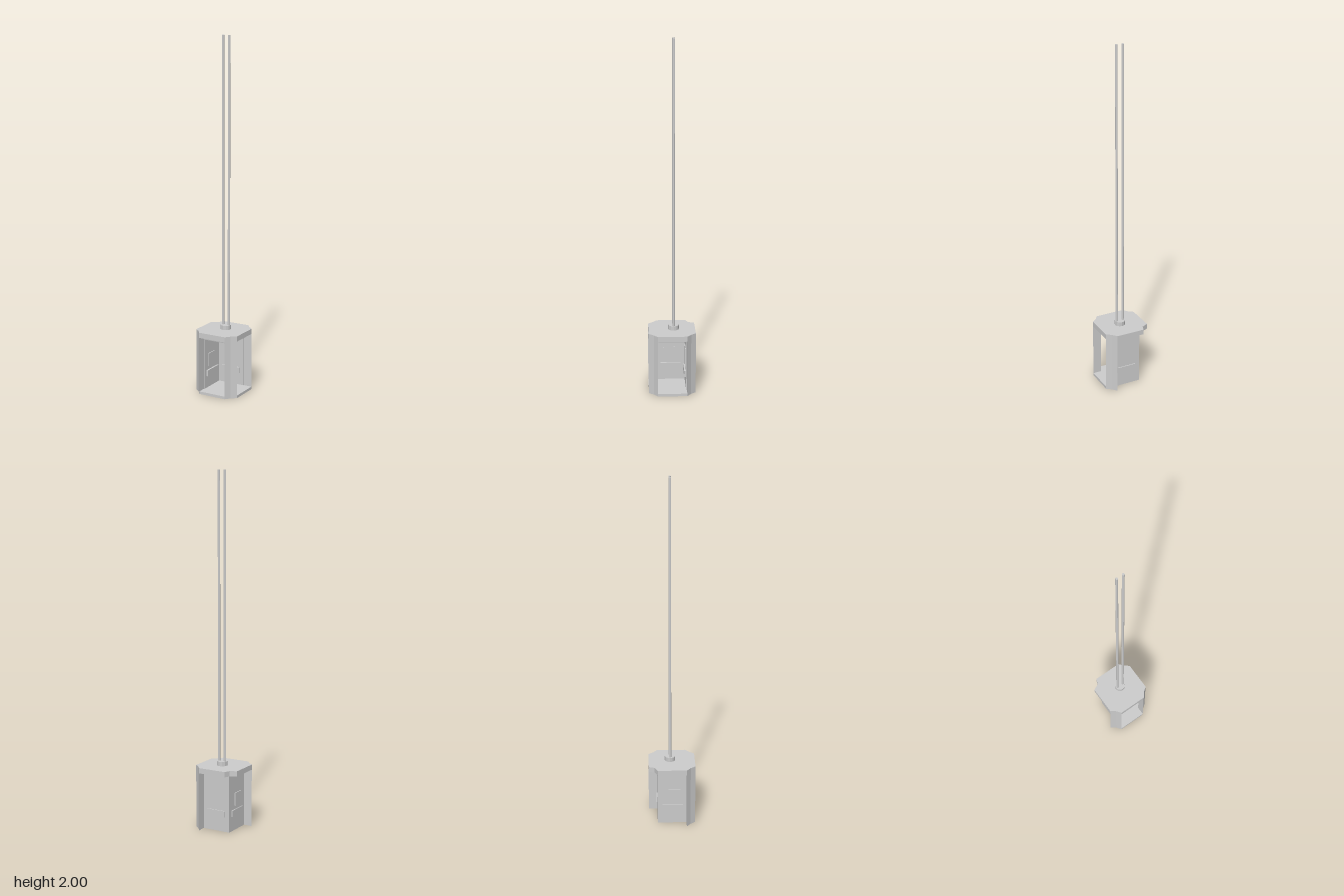
import * as THREE from 'three';

const material = new THREE.MeshStandardMaterial({ color: 0xcccccc, flatShading: true, side: THREE.DoubleSide });
const OUT = 0.133, IN = 0.083, MID = 0.105;
const FLOOR_TOP = 0.015, ROOF_BOTTOM = 0.33, ROOF_TOP = 0.36;

function add(parent, name, geometry, x = 0, y = 0, z = 0) {
  const mesh = new THREE.Mesh(geometry, material);
  mesh.name = name;
  mesh.position.set(x, y, z);
  parent.add(mesh);
  return mesh;
}

// Prism standing on a plan outline given as [x, z] points
function prism(points, y0, y1) {
  const shape = new THREE.Shape(points.map(([x, z]) => new THREE.Vector2(x, z)));
  const g = new THREE.ExtrudeGeometry(shape, { depth: y1 - y0, bevelEnabled: false });
  return g.rotateX(Math.PI / 2).translate(0, y1, 0);
}

// Box from its limits
function block(parent, name, [x0, x1], [y0, y1], [z0, z1]) {
  return add(parent, name, new THREE.BoxGeometry(x1 - x0, y1 - y0, z1 - z0),
    (x0 + x1) / 2, (y0 + y1) / 2, (z0 + z1) / 2);
}

export function createModel() {
  const model = new THREE.Group();
  model.name = 'liftCabin';

  // Floor reaches out to the two open sides and stops at the recessed walls
  add(model, 'floor', prism([
    [-IN, -IN], [IN, -IN], [OUT, -IN], [OUT, IN], [MID, MID], [IN, OUT], [-IN, OUT],
  ], 0, FLOOR_TOP));

  // Roof plate with chamfered corners and a notch at the back
  add(model, 'roof', prism([
    [-IN, -OUT], [IN, -OUT], [MID, -MID], [OUT, -IN], [OUT, IN], [MID, MID], [IN, OUT],
    [-IN, OUT], [-MID, MID], [-OUT, IN], [-OUT, -IN], [-0.095, -0.1],
  ], ROOF_BOTTOM, ROOF_TOP));

  // Ceiling panel tapering downwards inside the roof
  const ceiling = new THREE.CylinderGeometry(0.083 * Math.SQRT2, 0.078 * Math.SQRT2, 0.025, 4);
  add(model, 'ceiling', ceiling.rotateY(Math.PI / 4), 0, 0.3175, 0);

  // Corner posts on three corners
  for (const [sx, sz] of [[1, 1], [1, -1], [-1, 1]]) {
    const outline = [[IN, IN], [OUT, IN], [MID, MID], [IN, OUT]].map(([x, z]) => [x * sx, z * sz]);
    add(model, 'cornerPost', prism(outline, 0, ROOF_BOTTOM));
  }

  // Two closed walls
  const wallY = [FLOOR_TOP, ROOF_BOTTOM];
  block(model, 'backWall', [-IN, IN], wallY, [-IN, -IN + 0.004]);
  block(model, 'sideWall', [-IN, -IN + 0.004], wallY, [-IN, IN]);

  // Handrail bars show on both faces of the walls
  const barY = [0.085, 0.12], through = [-IN - 0.006, -IN + 0.014];
  block(model, 'backHandrail', [-0.056, 0.058], barY, through);
  block(model, 'sideHandrail', through, barY, [-0.056, 0.062]);

  // Mirror on the back wall, control panel through the side wall
  block(model, 'mirror', [-0.038, 0.041], [0.14, 0.25], [-IN, -IN + 0.008]);
  block(model, 'controlPanel', [-IN - 0.006, -IN + 0.009], [0.14, 0.215], [-0.022, 0.048]);

  // Cable mount and the two hoist cables
  add(model, 'cableMount', new THREE.CylinderGeometry(0.03, 0.03, 0.025, 12), 0.006, 0.3725, -0.01);
  for (const x of [-0.012, 0.026]) {
    add(model, 'cable', new THREE.CylinderGeometry(0.007, 0.007, 2 - ROOF_TOP, 8), x, 1 + ROOF_TOP / 2, -0.01);
  }
  return model;
}
